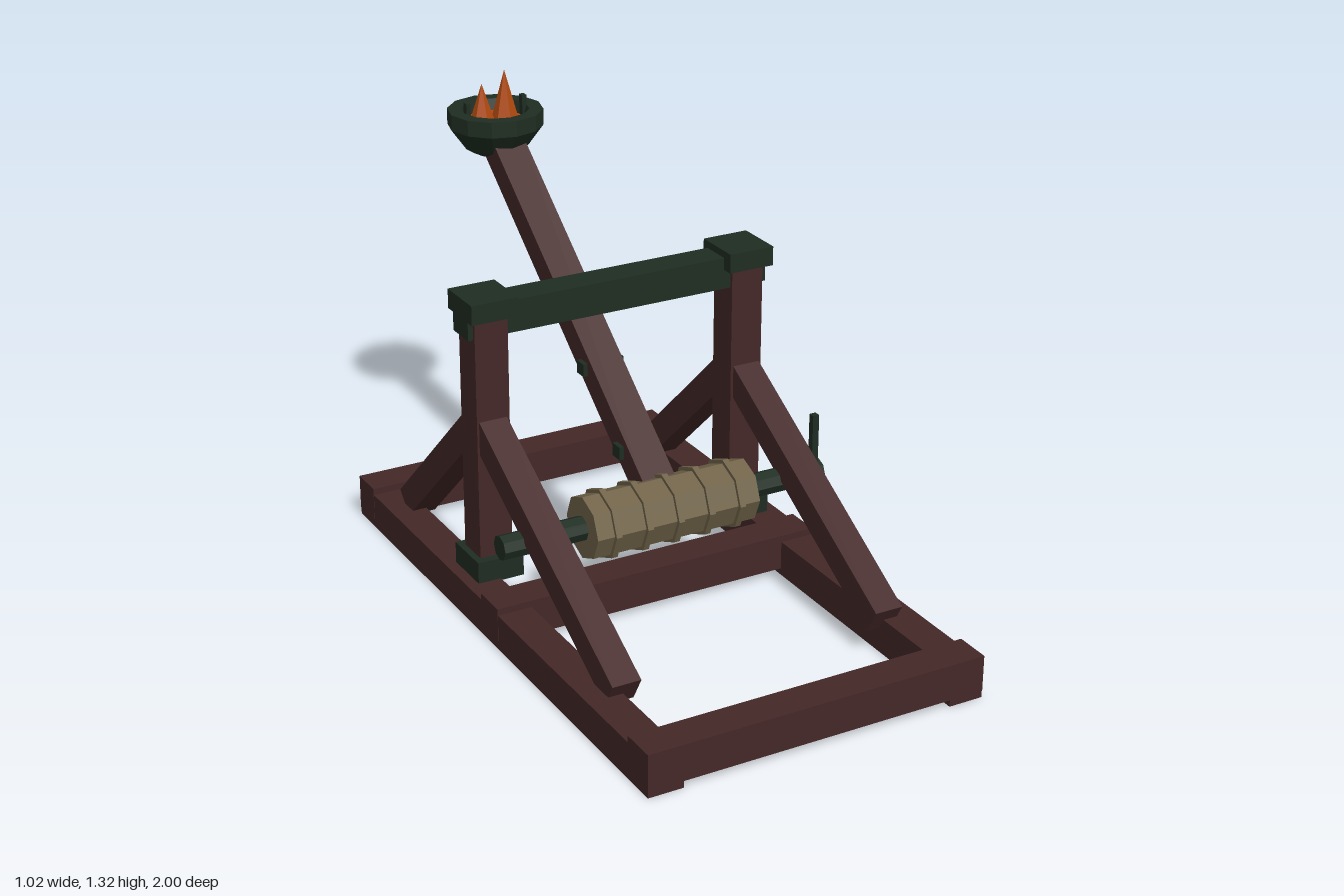
import * as THREE from 'three';

const mat = (name, color) => {
  const m = new THREE.MeshStandardMaterial({ color, flatShading: true });
  m.name = name;
  return m;
};

export function createModel() {
  const wood = mat('dark wood', 0x452828);
  const iron = mat('green iron', 0x1f2d22);
  const rope = mat('rope', 0x706348);
  const fire = mat('ember orange', 0xb04a10);
  const root = new THREE.Group();
  root.name = 'catapult';

  const add = (name, geo, material, x = 0, y = 0, z = 0) => {
    const mesh = new THREE.Mesh(geo, material);
    mesh.name = name;
    mesh.position.set(x, y, z);
    root.add(mesh);
    return mesh;
  };
  // Box given by its limits on each axis
  const block = (name, material, [x0, x1], [y0, y1], [z0, z1]) =>
    add(name, new THREE.BoxGeometry(x1 - x0, y1 - y0, z1 - z0), material,
      (x0 + x1) / 2, (y0 + y1) / 2, (z0 + z1) / 2);
  // Square-ended beam in the y-z plane, from one [y, z] point to another
  const beam = (name, x, width, thick, [y0, z0], [y1, z1]) => {
    const len = Math.hypot(y1 - y0, z1 - z0);
    const mesh = add(name, new THREE.BoxGeometry(width, thick, len), wood,
      x, (y0 + y1) / 2, (z0 + z1) / 2);
    mesh.rotation.x = -Math.atan2(y1 - y0, z1 - z0);
    return mesh;
  };
  // Eight-sided roller lying along x
  const roller = (name, r, len, material, x, y, z) => {
    const geo = new THREE.CylinderGeometry(r, r, len, 8);
    geo.rotateZ(Math.PI / 2);
    return add(name, geo, material, x, y, z);
  };

  // Base frame
  [['frontCrossBeam', 0.895, 1], ['middleCrossBeam', 0.047, 0.152], ['rearCrossBeam', -0.805, -0.7]]
    .forEach(([name, z0, z1]) => block(name, wood, [-0.509, 0.509], [0.02, 0.126], [z0, z1]));

  for (const s of [-1, 1]) {
    const side = s > 0 ? 'left' : 'right';
    const span = (a, b) => (s > 0 ? [a, b] : [-b, -a]);
    block(side + 'Rail', wood, span(0.405, 0.508), [0, 0.106], [-0.804, 0.999]);
    // Upright with its foot and cap
    block(side + 'Post', wood, span(0.355, 0.455), [0.1, 0.9], [-0.165, -0.065]);
    block(side + 'Foot', iron, span(0.333, 0.474), [0.1, 0.17], [-0.19, -0.04]);
    block(side + 'Cap', iron, span(0.333, 0.474), [0.888, 0.945], [-0.19, -0.04]);
    // Diagonal braces
    beam(side + 'FrontBrace', s * 0.406, 0.085, 0.085, [0.11, 0.682], [0.567, -0.115]);
    beam(side + 'RearBrace', s * 0.406, 0.085, 0.085, [0.108, -0.607], [0.567, -0.115]);
  }
  block('topBeam', iron, [-0.47, 0.47], [0.83, 0.924], [-0.168, -0.075]);

  // Throwing arm and its pins
  beam('throwingArm', 0, 0.102, 0.078, [0.372, 0.122], [1.115, -0.82]);
  block('upperArmPin', iron, [-0.065, 0.065], [0.6, 0.638], [-0.219, -0.179]);
  block('lowerArmPin', iron, [-0.065, 0.065], [0.427, 0.466], [-0.005, 0.035]);

  // Windlass
  const wy = 0.325, wz = 0.175;
  roller('axle', 0.036, 1.018, iron, 0, wy, wz);
  roller('ropeDrum', 0.093, 0.514, rope, 0, wy, wz);
  for (let i = -2; i <= 2; i++) roller('drumRing', 0.104, 0.018, rope, i * 0.098, wy, wz);
  block('crankHandle', iron, [0.48, 0.5], [0.325, 0.503], [wz - 0.01, wz + 0.01]);

  // Bucket
  const bz = -0.857;
  const profile = [[0, 1.068], [0.07, 1.07], [0.097, 1.087], [0.144, 1.152], [0.144, 1.2],
    [0.102, 1.2], [0.085, 1.15], [0, 1.15]].map(([r, y]) => new THREE.Vector2(r, y));
  add('bucket', new THREE.LatheGeometry(profile, 12), iron, 0, 0, bz);
  for (const s of [-1, 1])
    block('rimPeg', iron, [s * 0.092 - 0.007, s * 0.092 + 0.007], [1.14, 1.23], [bz - 0.01, bz + 0.01]);

  // Burning load
  add('embers', new THREE.CylinderGeometry(0.089, 0.086, 0.02, 12), fire, 0, 1.157, bz);
  [[-0.043, 1.282, 0.04], [0.032, 1.315, 0.042]].forEach(([x, top, r]) =>
    add('flame', new THREE.ConeGeometry(r, top - 1.16, 6), fire, x, (top + 1.16) / 2, bz));

  return root;
}
